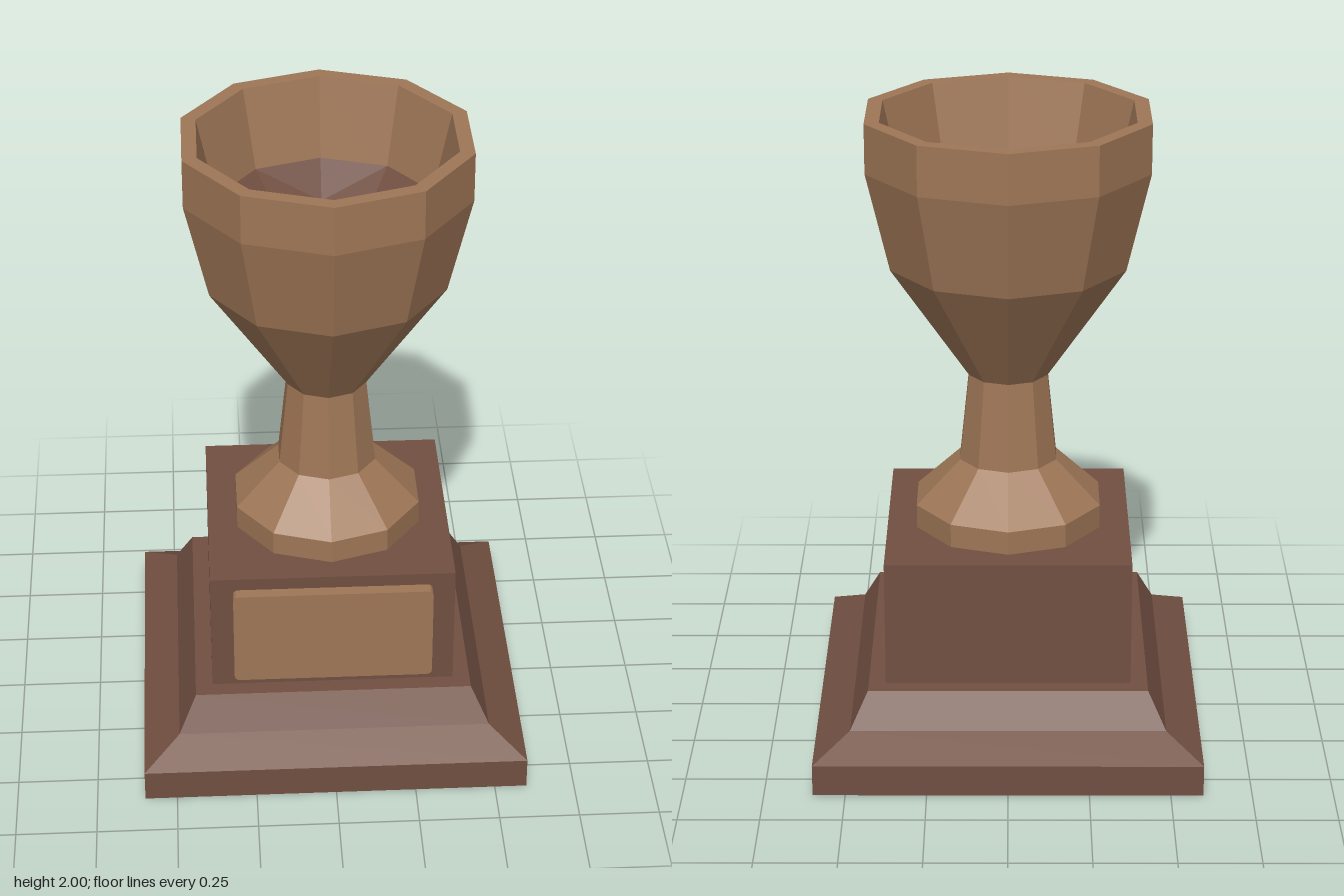
import * as THREE from 'three';

const gold = new THREE.MeshStandardMaterial({ color: 0x9e7656 });
gold.name = 'bronze';
const wood = new THREE.MeshStandardMaterial({ color: 0x714f41 });
wood.name = 'darkWood';

// Gives every face its own flat normal
function faceted(geometry) {
  const g = geometry.index ? geometry.toNonIndexed() : geometry;
  g.computeVertexNormals();
  return g;
}

function addPart(group, name, geometry, material) {
  const mesh = new THREE.Mesh(faceted(geometry), material);
  mesh.name = name;
  group.add(mesh);
  return mesh;
}

// Polygonal turned part from [radius, height] pairs
function turned(profile, sides, start = 0) {
  return new THREE.LatheGeometry(profile.map(([r, y]) => new THREE.Vector2(r, y)), sides, start);
}

// Square part from [half width, height] pairs
function square(profile) {
  return turned(profile.map(([h, y]) => [h * Math.SQRT2, y]), 4, Math.PI / 4);
}

// Sunken four-sided floor that meets the ten-sided inner wall
function bowlFloor(ringR, ringY, axisR, axisY, centreY) {
  const at = (deg, r, y) => {
    const a = THREE.MathUtils.degToRad(deg);
    return [r * Math.sin(a), y, r * Math.cos(a)];
  };
  const ring = (deg) => at(deg, ringR, ringY);
  const low = (deg) => at(deg, axisR, axisY);
  const angles = [0, 36, 72, 90, 108, 144, 180, 216, 252, 270, 288, 324];
  const edge = angles.map((d) => (d % 90 === 0 ? low(d) : ring(d)));
  const p = [];
  edge.forEach((e, i) => p.push(0, centreY, 0, ...e, ...edge[(i + 1) % edge.length]));
  // Small wall pieces between the ring and the low points
  for (const d of [0, 180]) {
    p.push(...low(d), ...ring(d - 36), ...ring(d));
    p.push(...low(d), ...ring(d), ...ring(d + 36));
  }
  for (const d of [90, 270]) p.push(...low(d), ...ring(d - 18), ...ring(d + 18));
  const g = new THREE.BufferGeometry();
  g.setAttribute('position', new THREE.Float32BufferAttribute(p, 3));
  return g;
}

// Plate with softened corners
function plaque(w, h, depth, r) {
  const x = w / 2, y = h / 2;
  const s = new THREE.Shape();
  s.moveTo(-x + r, -y);
  s.lineTo(x - r, -y);
  s.quadraticCurveTo(x, -y, x, -y + r);
  s.lineTo(x, y - r);
  s.quadraticCurveTo(x, y, x - r, y);
  s.lineTo(-x + r, y);
  s.quadraticCurveTo(-x, y, -x, y - r);
  s.lineTo(-x, -y + r);
  s.quadraticCurveTo(-x, -y, -x + r, -y);
  return new THREE.ExtrudeGeometry(s, { depth, bevelEnabled: false, curveSegments: 3 });
}

export function createModel() {
  const group = new THREE.Group();
  group.name = 'trophy';

  // Wooden base
  addPart(group, 'plinth', square([
    [0, 0], [0.6, 0], [0.6, 0.1], [0.488, 0.163], [0.433, 0.273], [0, 0.273],
  ]), wood);
  addPart(group, 'block', square([[0.38, 0.27], [0.38, 0.675], [0, 0.675]]), wood);
  addPart(group, 'plaque', plaque(0.62, 0.32, 0.04, 0.018), gold).position.set(0, 0.475, 0.378);

  // Ten-sided cup
  addPart(group, 'foot', turned([[0.302, 0.675], [0.302, 0.75], [0.158, 0.888]], 10), gold);
  addPart(group, 'stem', turned([[0.158, 0.888], [0.128, 1.168]], 10), gold);
  addPart(group, 'bowl', turned([
    [0.128, 1.168], [0.376, 1.535], [0.45, 1.845], [0.45, 2], [0.403, 2], [0.345, 1.75],
  ], 10), gold);
  addPart(group, 'bowlFloor', bowlFloor(0.345, 1.75, 0.288, 1.63, 1.42), wood);

  return group;
}
